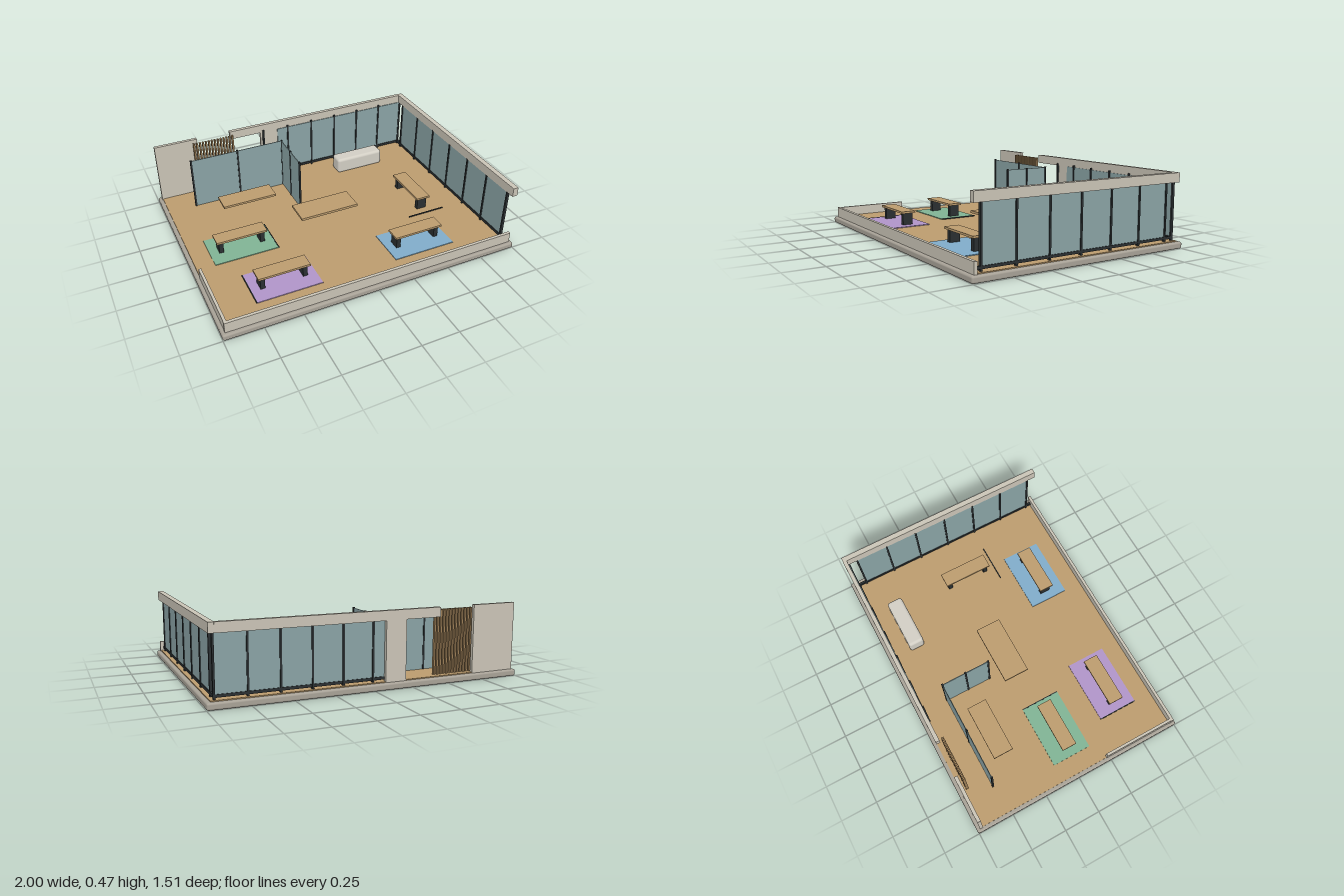
import * as THREE from 'three';
import { RoundedBoxGeometry } from 'three/addons/geometries/RoundedBoxGeometry.js';

function material(name, color) {
  const m = new THREE.MeshStandardMaterial({ color });
  m.name = name;
  return m;
}

export function createModel() {
  const model = new THREE.Group();
  model.name = 'openOfficePavilion';

  const wood = material('oak', 0xbc9c6e);
  const slatWood = material('darkOak', 0x9a7d56);
  const stone = material('paleStone', 0xcac4b6);
  const slabMat = material('concrete', 0xa8a297);
  const glass = material('tintedGlass', 0x8aa3a5);
  const frame = material('darkFrame', 0x2a2f31);
  const white = material('offWhite', 0xd2cec4);
  const green = material('greenRug', 0x80b394);
  const purple = material('purpleRug', 0xb094c8);
  const blue = material('blueRug', 0x80acca);

  // Box given by its lower and upper limits on each axis
  function box(name, mat, x0, x1, y0, y1, z0, z1, parent = model, radius = 0) {
    const w = x1 - x0, h = y1 - y0, d = z1 - z0;
    const geo = radius ? new RoundedBoxGeometry(w, h, d, 3, radius) : new THREE.BoxGeometry(w, h, d);
    const mesh = new THREE.Mesh(geo, mat);
    mesh.name = name;
    mesh.position.set((x0 + x1) / 2, (y0 + y1) / 2, (z0 + z1) / 2);
    parent.add(mesh);
    return mesh;
  }

  function group(name) {
    const g = new THREE.Group();
    g.name = name;
    model.add(g);
    return g;
  }

  // Base slab and floor
  box('baseSlab', slabMat, -1, 1, 0, 0.042, -0.755, 0.755, model, 0.012);
  box('floor', wood, -0.975, 0.975, 0.04, 0.048, -0.73, 0.73);

  // Low parapets at the front and the front part of the left-hand side
  box('frontParapet', stone, -0.98, 0.98, 0.042, 0.112, 0.712, 0.732);
  box('sideParapet', stone, -0.978, -0.96, 0.042, 0.112, 0.22, 0.712);

  // Back wall: solid end, pier beside the doorway, lintel beam
  const back = group('backWall');
  box('solidWall', stone, -0.98, -0.68, 0.042, 0.472, -0.733, -0.711, back);
  box('pier', stone, -0.21, -0.075, 0.042, 0.412, -0.733, -0.711, back);
  box('backBeam', stone, -0.44, 0.945, 0.412, 0.472, -0.735, -0.709, back);

  // Back glazing
  const backGlazing = group('backGlazing');
  box('backGlass', glass, -0.08, 0.945, 0.07, 0.414, -0.71, -0.704, backGlazing);
  box('backRail', frame, -0.19, 0.95, 0.058, 0.076, -0.714, -0.699, backGlazing);
  for (let i = 0; i < 7; i++) {
    const x = -0.19 + i * 0.19;
    box('backMullion', frame, x - 0.006, x + 0.006, 0.048, 0.428, -0.716, -0.698, backGlazing);
  }

  // Right-hand glazed wall
  const side = group('sideGlazing');
  box('sideBeam', stone, 0.942, 0.978, 0.412, 0.472, -0.733, 0.732, side);
  box('sideGlass', glass, 0.947, 0.953, 0.07, 0.414, -0.645, 0.675, side);
  box('sideRail', frame, 0.942, 0.958, 0.06, 0.077, -0.715, 0.715, side);
  for (let i = 0; i < 7; i++) {
    const z = -0.645 + i * 0.22;
    box('sideMullion', frame, 0.941, 0.959, 0.048, 0.414, z - 0.006, z + 0.006, side);
  }

  // Timber slat screen
  const slats = group('slatScreen');
  for (let i = 0; i < 14; i++) {
    const x = -0.71 + i * 0.0215;
    box('slat', slatWood, x - 0.006, x + 0.006, 0.048, 0.452, -0.695, -0.677, slats);
  }

  // L-shaped glass partition of the meeting corner
  const partition = group('partition');
  box('longPane', glass, -0.78, -0.117, 0.048, 0.415, -0.535, -0.53, partition);
  box('shortPane', glass, -0.12, -0.115, 0.048, 0.415, -0.53, -0.205, partition);
  for (const [x, z] of [[-0.78, -0.532], [-0.448, -0.532], [-0.117, -0.532], [-0.117, -0.368], [-0.117, -0.205]]) {
    box('partitionPost', frame, x - 0.006, x + 0.006, 0.048, 0.42, z - 0.006, z + 0.006, partition);
  }

  // Desks with block legs, on rugs
  function desk(name, x, z, turn, rug, edge) {
    const g = group(name);
    g.position.set(x, 0, z);
    g.rotation.y = turn;
    box('deskTop', wood, -0.17, 0.17, 0.134, 0.148, -0.05, 0.05, g);
    for (const s of [-0.14, 0.14]) {
      box('deskLeg', frame, s - 0.015, s + 0.015, 0.048, 0.134, -0.035, 0.035, g);
    }
    if (rug) box('rug', rug, -0.215, 0.215, 0.047, 0.053, -0.135, 0.135, g);
    if (edge) box('rugEdge', frame, edge - 0.003, edge + 0.003, 0.047, 0.055, -0.135, 0.135, g);
  }
  desk('greenDesk', -0.64, 0.022, 0, green, 0.215);
  desk('purpleDesk', -0.52, 0.455, 0, purple, -0.215);
  desk('blueDesk', 0.42, 0.455, 0, blue, 0);
  desk('sideDesk', 0.65, 0.012, Math.PI / 2, null, -0.215);

  // Slab tables
  box('meetingTable', wood, -0.64, -0.26, 0.12, 0.135, -0.445, -0.308);
  box('centralTable', wood, -0.21, 0.205, 0.12, 0.137, -0.13, 0.045);

  // Rounded counter by the back glazing
  box('counter', white, 0.315, 0.68, 0.048, 0.162, -0.593, -0.485, model, 0.02);

  return model;
}
